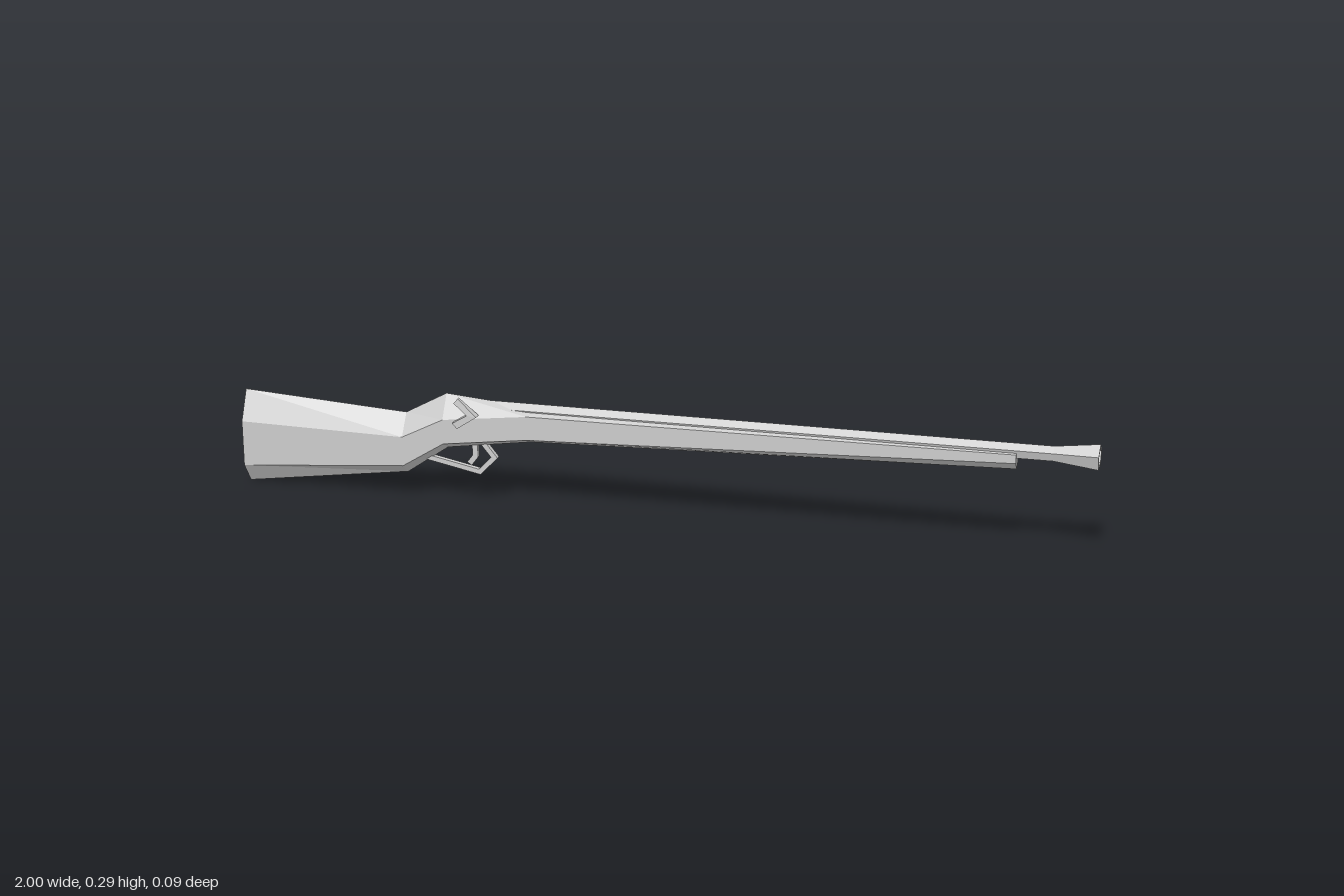
import * as THREE from 'three';

const material = new THREE.MeshStandardMaterial({ color: 0xcccccc, flatShading: true });

function addPart(group, name, geometry) {
  const g = geometry.index ? geometry.toNonIndexed() : geometry;
  g.computeVertexNormals();
  const mesh = new THREE.Mesh(g, material);
  mesh.name = name;
  group.add(mesh);
}

// Hexagonal sections along x: [x, top, upperSide, lowerSide, bottom, centreZ, halfWidth]
const stockSections = [
  [-1.0, 0.23, 0.16, 0.05, 0.0, -0.003, 0.034],
  [-0.6, 0.211, 0.161, 0.09, 0.063, -0.003, 0.035],
  [-0.5, 0.267, 0.213, 0.154, 0.134, -0.003, 0.034],
  [-0.3, 0.252, 0.238, 0.181, 0.166, -0.005, 0.03],
  [0.82, 0.262, 0.254, 0.234, 0.214, -0.012, 0.0195],
];

function stockGeometry() {
  const pos = [], idx = [], n = 6, last = stockSections.length - 1;
  for (const [x, top, up, low, bottom, z, w] of stockSections) {
    pos.push(x, top, z, x, up, z + w, x, low, z + w, x, bottom, z, x, low, z - w, x, up, z - w);
  }
  for (let s = 0; s < last; s++) {
    for (let i = 0; i < n; i++) {
      const a = s * n + i, b = s * n + (i + 1) % n;
      idx.push(a, b, b + n, a, b + n, a + n);
    }
  }
  // End caps
  for (let i = 1; i < n - 1; i++) {
    idx.push(0, i + 1, i);
    idx.push(last * n, last * n + i, last * n + i + 1);
  }
  const g = new THREE.BufferGeometry();
  g.setAttribute('position', new THREE.Float32BufferAttribute(pos, 3));
  g.setIndex(idx);
  return g;
}

// Five-sided barrel with flared muzzle and a recessed bore
function barrelGeometry() {
  const profile = [
    [0, -0.46], [0.019, -0.46], [0.0175, 0.9], [0.03, 1.0], [0.022, 1.0], [0.016, 0.96], [0, 0.96],
  ].map(([r, x]) => new THREE.Vector2(r, x));
  const g = new THREE.LatheGeometry(profile, 5, -Math.PI / 2);
  g.rotateZ(-Math.PI / 2);
  // Shear so the barrel rises and drifts slightly towards the muzzle
  const p = g.attributes.position;
  for (let i = 0; i < p.count; i++) {
    const t = (p.getX(i) + 0.46) / 1.46;
    p.setY(i, p.getY(i) + 0.239 + 0.021 * t);
    p.setZ(i, p.getZ(i) - 0.004 - 0.009 * t);
  }
  return g;
}

// Chevron-shaped lock hammer, thinner towards its tip
function hammerGeometry() {
  const shape = new THREE.Shape([
    [-0.46, 0.2], [-0.413, 0.232], [-0.458, 0.272], [-0.468, 0.26], [-0.436, 0.234], [-0.472, 0.212],
  ].map(([x, y]) => new THREE.Vector2(x, y)));
  const g = new THREE.ExtrudeGeometry(shape, { depth: 0.018, bevelEnabled: false });
  g.translate(0, 0, 0.027);
  const p = g.attributes.position;
  for (let i = 0; i < p.count; i++) {
    const t = THREE.MathUtils.clamp((p.getY(i) - 0.232) / 0.04, 0, 1);
    p.setZ(i, 0.036 + (p.getZ(i) - 0.036) * (1 - 0.55 * t));
  }
  return g;
}

// Mitred flat strip following a path in the xy plane
function stripGeometry(points, thickness, width, z) {
  const path = points.map(([x, y]) => new THREE.Vector2(x, y));
  const outer = [], inner = [];
  path.forEach((p, i) => {
    const d1 = p.clone().sub(path[Math.max(i - 1, 0)]).normalize();
    const d2 = path[Math.min(i + 1, path.length - 1)].clone().sub(p).normalize();
    const d = d1.clone().add(d2).normalize();
    const cos = d.dot(i === 0 ? d2 : d1);
    const n = new THREE.Vector2(d.y, -d.x).multiplyScalar(thickness / 2 / cos);
    outer.push(p.clone().add(n));
    inner.unshift(p.clone().sub(n));
  });
  const g = new THREE.ExtrudeGeometry(new THREE.Shape([...outer, ...inner]), { depth: width, bevelEnabled: false });
  return g.translate(0, 0, z - width / 2);
}

export function createModel() {
  const group = new THREE.Group();
  group.name = 'longGun';
  addPart(group, 'stock', stockGeometry());
  addPart(group, 'barrel', barrelGeometry());
  addPart(group, 'hammer', hammerGeometry());
  addPart(group, 'triggerGuard', stripGeometry(
    [[-0.56, 0.108], [-0.422, 0.082], [-0.386, 0.121], [-0.416, 0.158]], 0.012, 0.012, -0.004));
  addPart(group, 'trigger', stripGeometry(
    [[-0.447, 0.1], [-0.432, 0.12], [-0.434, 0.16]], 0.013, 0.01, -0.004));
  return group;
}
